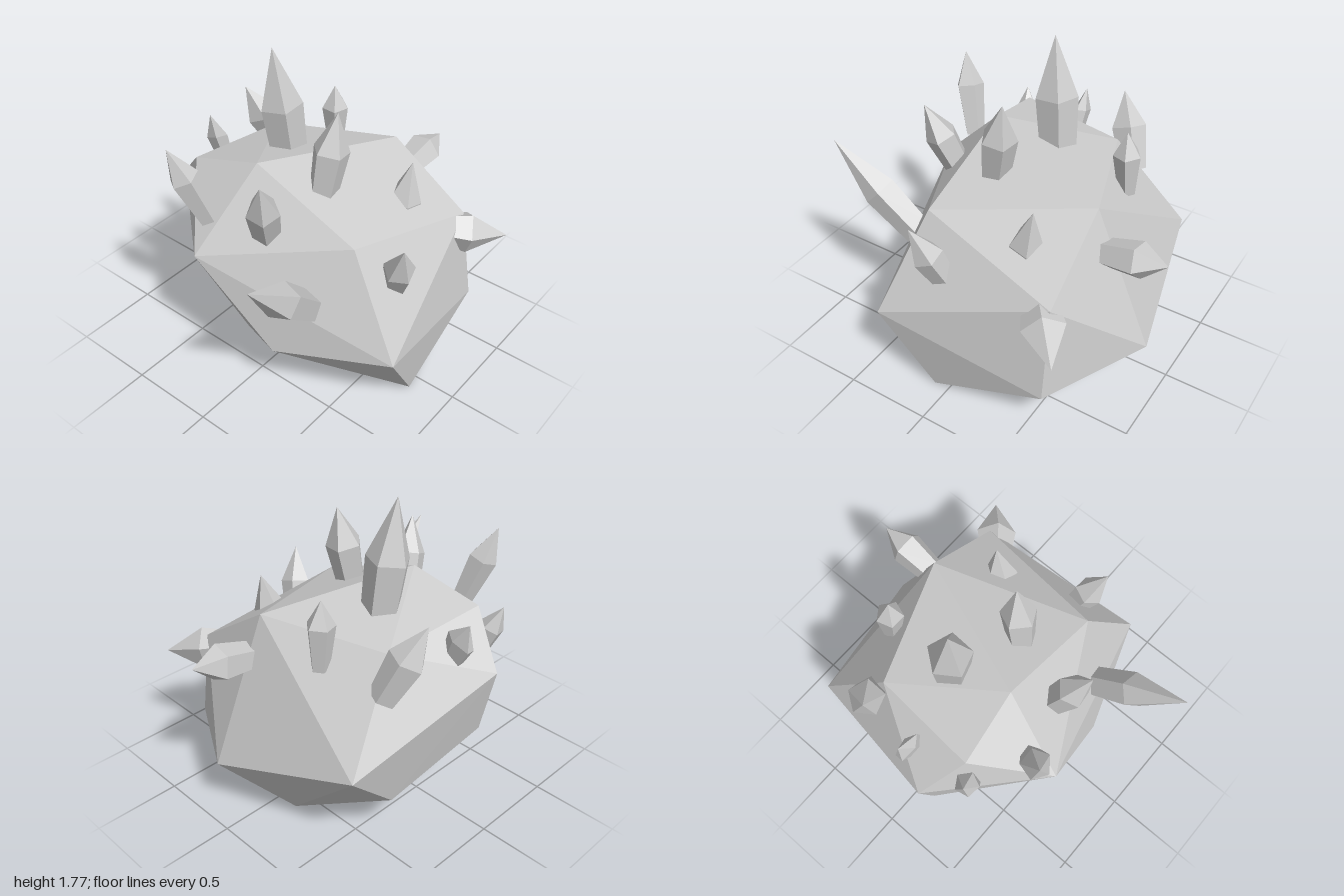
import * as THREE from 'three';
import { ConvexGeometry } from 'three/addons/geometries/ConvexGeometry.js';

const material = new THREE.MeshStandardMaterial({ color: 0xcccccc, flatShading: true });
const UP = new THREE.Vector3(0, 1, 0);

// Faceted boulder: the convex hull of its corners
function createRock() {
  const corners = [
    [-0.27, 1.24, -0.19], [0.57, 1.13, 0.14], [0.32, 1.08, -0.555], [-0.32, 1.13, -0.61],
    [-0.28, 0.99, 0.48], [0.58, 0.8, 0.63], [-0.19, 0.87, -0.86], [-0.69, 0.81, -0.29],
    [-0.4, 0.46, 0.84], [0.72, 0.56, -0.7], [-0.19, 0.47, -0.77], [-0.625, 0.35, 0.2],
    [0.92, 0.32, 0.15], [0.59, 0.24, 0.72], [0.4, 0.25, -0.67], [-0.39, 0.12, -0.205],
    [-0.09, 0, 0.765], [0.61, 0, -0.13],
  ];
  const mesh = new THREE.Mesh(new ConvexGeometry(corners.map((c) => new THREE.Vector3(...c))), material);
  mesh.name = 'rock';
  return mesh;
}

// Five-sided crystal: narrow foot, wider shoulder, pointed tip
function createCrystal({ base, tip, shoulder, foot, radius, spin = 0, squash = 1 }) {
  const start = new THREE.Vector3(...base);
  const axis = new THREE.Vector3(...tip).sub(start);
  const length = axis.length();
  const profile = [[0, 0], [foot, 0], [radius, length * shoulder], [0, length]];
  const geometry = new THREE.LatheGeometry(profile.map((p) => new THREE.Vector2(...p)), 5, spin);
  const mesh = new THREE.Mesh(geometry, material);
  mesh.position.copy(start);
  mesh.quaternion.setFromUnitVectors(UP, axis.normalize());
  mesh.scale.x = squash;
  return mesh;
}

const CRYSTALS = [
  // Crown
  { base: [0.08, 1.13, -0.27], tip: [0.02, 1.77, -0.32], shoulder: 0.46, foot: 0.11, radius: 0.125, spin: 0.6 },
  { base: [-0.085, 1.09, 0.12], tip: [-0.01, 1.56, 0.155], shoulder: 0.53, foot: 0.085, radius: 0.105, spin: 0.8 },
  { base: [0.53, 0.96, -0.275], tip: [0.51, 1.35, -0.27], shoulder: 0.64, foot: 0.05, radius: 0.08, spin: 0.3 },
  // Front slope
  { base: [0.26, 0.75, 0.38], tip: [0.34, 1.18, 0.41], shoulder: 0.46, foot: 0.08, radius: 0.1, spin: 0.5 },
  { base: [0.45, 0.72, 0.53], tip: [0.72, 0.66, 0.85], shoulder: 0.45, foot: 0.09, radius: 0.125, spin: 0.2 },
  { base: [-0.09, 0.7, 0.62], tip: [-0.21, 1.06, 0.74], shoulder: 0.47, foot: 0.07, radius: 0.09, spin: 0.9 },
  // Left and right flanks
  { base: [0.62, 0.885, 0.17], tip: [1, 0.96, 0.18], shoulder: 0.58, foot: 0.08, radius: 0.105, spin: 0.1 },
  { base: [-0.48, 0.65, 0.33], tip: [-1, 1.14, 0.4], shoulder: 0.46, foot: 0.09, radius: 0.105, spin: 0.7 },
  { base: [-0.42, 0.94, 0], tip: [-0.57, 1.36, 0.1], shoulder: 0.52, foot: 0.08, radius: 0.095, spin: 0.4 },
  { base: [-0.53, 0.96, -0.32], tip: [-0.67, 1.42, -0.45], shoulder: 0.6, foot: 0.06, radius: 0.085, spin: 1 },
  // Back slope
  { base: [-0.35, 0.87, -0.62], tip: [-0.4, 1.13, -0.72], shoulder: 0.5, foot: 0.06, radius: 0.07, spin: 0.2 },
  { base: [-0.02, 0.9, -0.66], tip: [-0.02, 1.2, -0.79], shoulder: 0.6, foot: 0.06, radius: 0.09, squash: 0.45 },
  { base: [0.41, 0.88, -0.6], tip: [0.25, 1.29, -0.75], shoulder: 0.55, foot: 0.08, radius: 0.105, spin: 0.6 },
];

export function createModel() {
  const model = new THREE.Group();
  model.name = 'crystalRock';
  model.add(createRock());

  const crystals = new THREE.Group();
  crystals.name = 'crystals';
  CRYSTALS.forEach((spec, i) => {
    const crystal = createCrystal(spec);
    crystal.name = `crystal${i + 1}`;
    crystals.add(crystal);
  });
  model.add(crystals);
  return model;
}
